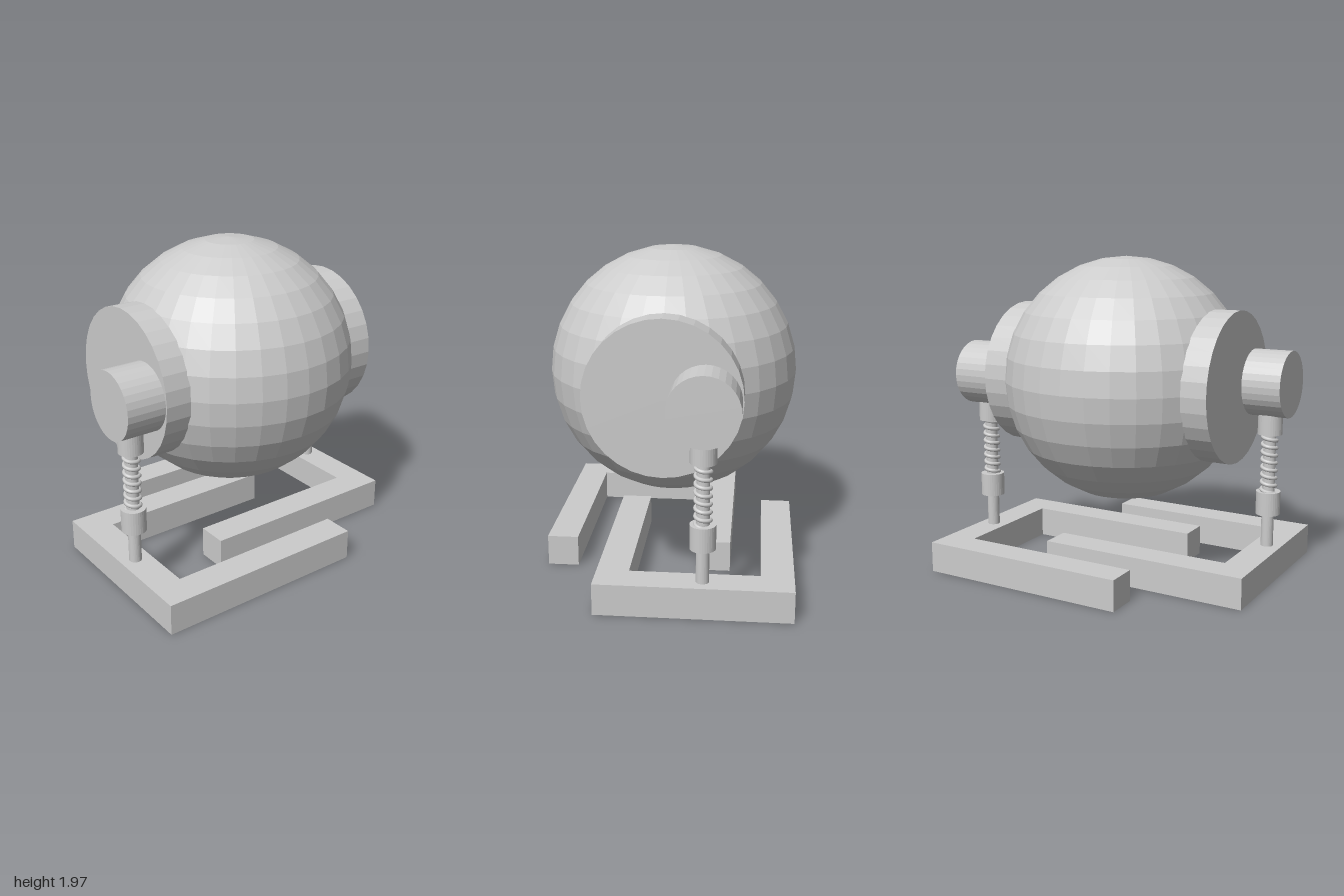
import * as THREE from 'three';

const material = new THREE.MeshStandardMaterial({ color: 0xcccccc, flatShading: true });
const smooth = new THREE.MeshStandardMaterial({ color: 0xcccccc });

function add(parent, name, geometry, x, y, z, mat = material) {
  const mesh = new THREE.Mesh(geometry, mat);
  mesh.name = name;
  mesh.position.set(x, y, z);
  parent.add(mesh);
  return mesh;
}

// Cylinder lying along x
function axle(radius, length) {
  return new THREE.CylinderGeometry(radius, radius, length, 32).rotateZ(Math.PI / 2);
}

// Upright cylinder between two heights
function post(parent, name, radius, y0, y1) {
  add(parent, name, new THREE.CylinderGeometry(radius, radius, y1 - y0, 32), 0, (y0 + y1) / 2, 0);
}

class Helix extends THREE.Curve {
  constructor(radius, height, turns) {
    super();
    Object.assign(this, { radius, height, turns });
  }
  getPoint(t, target = new THREE.Vector3()) {
    const a = t * this.turns * Math.PI * 2;
    return target.set(Math.cos(a) * this.radius, t * this.height, Math.sin(a) * this.radius);
  }
}

// Rod, collars and coil spring that carry one knob
function makeStrut() {
  const strut = new THREE.Group();
  strut.name = 'springStrut';
  post(strut, 'rod', 0.038, 0.18, 0.92);
  post(strut, 'lowerCollar', 0.075, 0.395, 0.54);
  post(strut, 'upperCollar', 0.075, 0.9, 1.03);
  const coil = new THREE.TubeGeometry(new Helix(0.043, 0.38, 8), 256, 0.012, 8);
  add(strut, 'spring', coil, 0, 0.53, 0, smooth);
  return strut;
}

// C-shaped foot: two long bars joined by a side bar, given as [x, z]
function footGeometry() {
  const outline = [
    [-0.355, -0.76], [0.972, -0.76], [0.972, 0.38], [-0.355, 0.38],
    [-0.355, 0.19], [0.785, 0.19], [0.785, -0.57], [-0.355, -0.57],
  ];
  const shape = new THREE.Shape(outline.map(([x, z]) => new THREE.Vector2(x, -z)));
  return new THREE.ExtrudeGeometry(shape, { depth: 0.19, bevelEnabled: false }).rotateX(-Math.PI / 2);
}

export function createModel() {
  const model = new THREE.Group();
  model.name = 'springMountedSphere';

  add(model, 'sphereBody', new THREE.SphereGeometry(0.758, 32, 16), 0, 1.21, 0);

  // Each side is the other turned half way round the vertical axis
  for (const [i, side] of ['left', 'right'].entries()) {
    const half = new THREE.Group();
    half.name = side + 'Side';
    half.rotation.y = i * Math.PI;
    add(half, 'sideDisc', axle(0.455, 0.36), 0.58, 1.21, 0);
    add(half, 'knob', axle(0.203, 0.3), 0.85, 1.214, -0.243);

    // The feet and struts sit slightly towards +x
    const support = new THREE.Group();
    support.name = 'support';
    support.position.x = i ? -0.007 : 0.007;
    add(support, 'foot', footGeometry(), 0, 0, 0);
    const strut = makeStrut();
    strut.position.set(0.88, 0, -0.24);
    support.add(strut);
    half.add(support);
    model.add(half);
  }
  return model;
}
